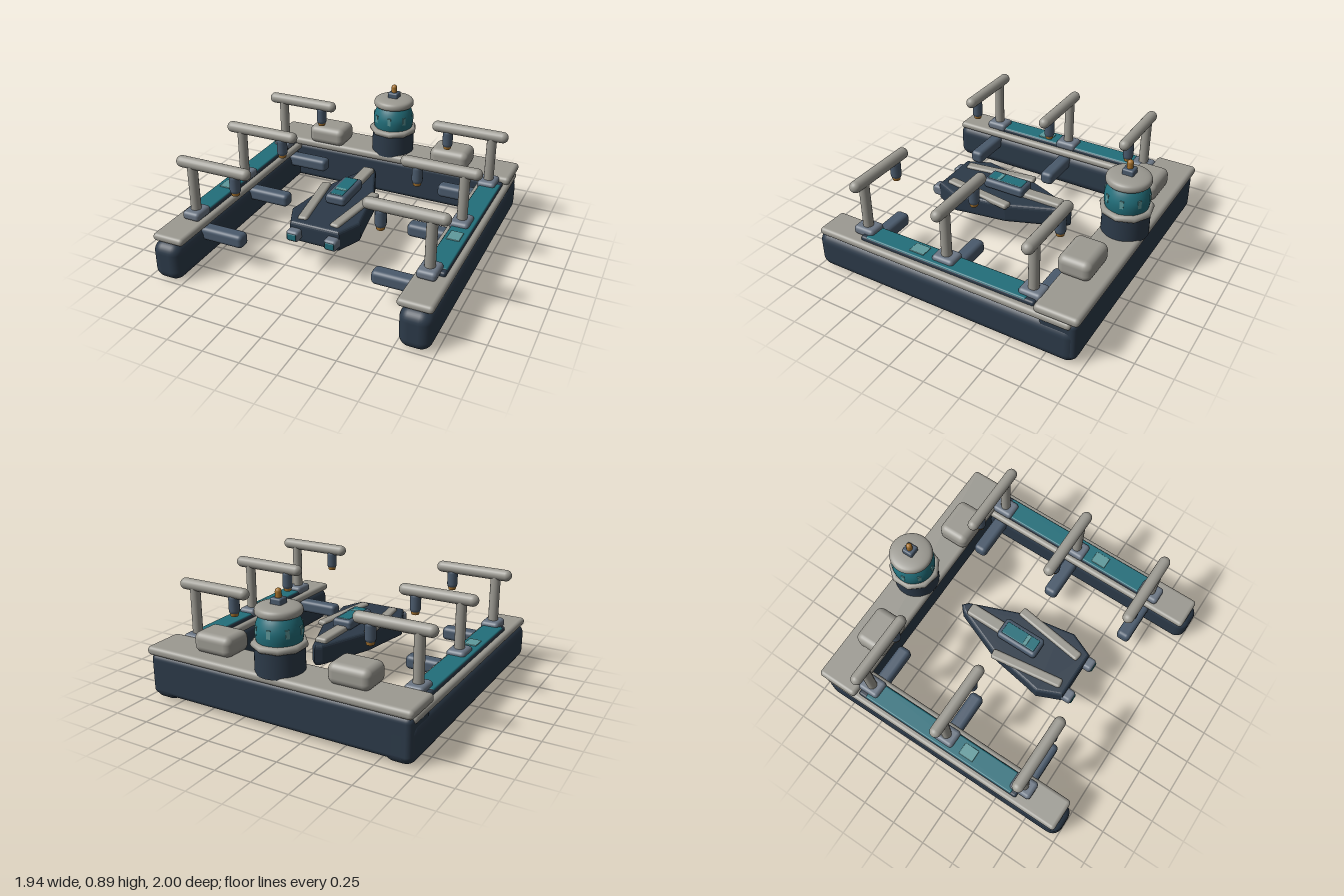
import * as THREE from 'three';
import { RoundedBoxGeometry } from 'three/addons/geometries/RoundedBoxGeometry.js';

const mat = (color) => new THREE.MeshStandardMaterial({ color });
const NAVY = mat(0x2c3a49), GREY = mat(0x9c9a92), TEAL = mat(0x226f7b), SLATE = mat(0x4a5a6c);
const STEEL = mat(0x6b7684), COPPER = mat(0xa8742e), GLASS = mat(0x5f9a9c);

function add(parent, name, geometry, material, x = 0, y = 0, z = 0) {
  const mesh = new THREE.Mesh(geometry, material);
  mesh.name = name;
  mesh.position.set(x, y, z);
  parent.add(mesh);
  return mesh;
}

// Rounded box given by its limits on each axis
function box(parent, name, material, [x0, x1], [y0, y1], [z0, z1], r = 0.02) {
  const g = new RoundedBoxGeometry(x1 - x0, y1 - y0, z1 - z0, 4, r);
  return add(parent, name, g, material, (x0 + x1) / 2, (y0 + y1) / 2, (z0 + z1) / 2);
}

function group(parent, name) {
  const g = new THREE.Group();
  g.name = name;
  parent.add(g);
  return g;
}

// Same limits on the left (s = 1) or mirrored to the right (s = -1)
const side = (s, a, b) => (s > 0 ? [a, b] : [-b, -a]);

// Gantry with foot, post, arm, hanging nozzle and docking bumper
function gantry(parent, s, z) {
  const g = group(parent, 'gantry');
  box(g, 'foot', STEEL, side(s, 0.77, 0.9), [0.32, 0.383], [z - 0.08, z + 0.08], 0.025);
  add(g, 'post', new THREE.CylinderGeometry(0.035, 0.035, 0.36, 20), GREY, s * 0.835, 0.53, z);
  const arm = add(g, 'arm', new THREE.CapsuleGeometry(0.04, 0.48, 8, 20), GREY, s * 0.67, 0.72, z);
  arm.rotation.z = Math.PI / 2;
  add(g, 'nozzle', new THREE.CapsuleGeometry(0.037, 0.08, 6, 16), SLATE, s * 0.51, 0.64, z);
  add(g, 'nozzleTip', new THREE.CylinderGeometry(0.032, 0.026, 0.03, 16), COPPER, s * 0.51, 0.573, z);
  box(g, 'dockBumper', SLATE, side(s, 0.465, 0.8), [0.17, 0.268], [z - 0.05, z + 0.05], 0.03);
}

function pontoon(parent, s) {
  const g = group(parent, s > 0 ? 'leftPontoon' : 'rightPontoon');
  box(g, 'hull', NAVY, side(s, 0.76, 0.972), [0, 0.275], [-0.955, 1], 0.075);
  box(g, 'deck', GREY, side(s, 0.742, 0.972), [0.268, 0.322], [-0.92, 0.965], 0.025);
  box(g, 'tray', NAVY, side(s, 0.78, 0.932), [0.31, 0.35], [-0.66, 0.64], 0.015);
  box(g, 'walkway', TEAL, side(s, 0.785, 0.928), [0.32, 0.354], [-0.6, 0.6], 0.01);
  box(g, 'hatch', GLASS, side(s, 0.81, 0.896), [0.34, 0.36], [0.16, 0.27], 0.004);
  for (const z of [0.645, 0.02, -0.607]) gantry(g, s, z);
}

function tower(parent) {
  const g = group(parent, 'tower');
  g.position.z = -0.825;
  add(g, 'base', new THREE.CylinderGeometry(0.158, 0.16, 0.18, 40), NAVY, 0, 0.45, 0);
  const collar = add(g, 'collar', new THREE.TorusGeometry(0.156, 0.025, 10, 9), GREY, 0, 0.545, 0);
  collar.rotation.x = Math.PI / 2;
  const lathe = (pts) => new THREE.LatheGeometry(
    new THREE.SplineCurve(pts.map(([x, y]) => new THREE.Vector2(x, y))).getPoints(20), 40);
  add(g, 'cabin', lathe([[0.14, 0.545], [0.15, 0.6], [0.15, 0.65], [0.135, 0.7], [0.11, 0.745]]), TEAL);
  add(g, 'roof', lathe([[0.1, 0.725], [0.142, 0.735], [0.15, 0.76], [0.135, 0.785], [0.08, 0.797], [0, 0.8]]), GREY);
  // Windows around the cabin
  for (let i = 0; i < 8; i++) {
    const a = (i / 8) * Math.PI * 2 + 0.15;
    const pane = add(g, 'window', new THREE.BoxGeometry(0.025, 0.055, 0.012), GLASS,
      Math.sin(a) * 0.146, 0.645, Math.cos(a) * 0.146);
    pane.rotation.y = a;
  }
  box(g, 'beaconMount', SLATE, [-0.04, 0.04], [0.785, 0.837], [-0.04, 0.04], 0.012);
  add(g, 'beacon', new THREE.CapsuleGeometry(0.021, 0.035, 6, 16), COPPER, 0, 0.856, 0);
}

function craft(parent) {
  const g = group(parent, 'craft');
  // Arrowhead hull, extruded upward with a rounded edge
  const half = [[0.165, 0.515], [0.232, 0.36], [0.215, 0.27], [0.17, -0.01], [0.022, -0.385]];
  const shape = new THREE.Shape();
  shape.moveTo(0, -0.405);
  [...half].reverse().forEach(([x, z]) => shape.lineTo(x, z));
  half.forEach(([x, z]) => shape.lineTo(-x, z));
  shape.closePath();
  const body = new THREE.ExtrudeGeometry(shape, {
    depth: 0.085, bevelEnabled: true, bevelSize: 0.02, bevelThickness: 0.03, bevelSegments: 4 });
  body.rotateX(Math.PI / 2);
  add(g, 'craftHull', body, NAVY, 0, 0.353, 0);
  box(g, 'spine', GREY, [-0.045, 0.045], [0.365, 0.414], [-0.36, 0.06], 0.018);
  box(g, 'canopy', SLATE, [-0.075, 0.075], [0.385, 0.457], [-0.085, 0.23], 0.025);
  box(g, 'canopyGlass', TEAL, [-0.046, 0.046], [0.44, 0.462], [-0.06, 0.205], 0.006);
  box(g, 'canopyStripe', GLASS, [-0.042, 0.042], [0.45, 0.465], [0.11, 0.138], 0.003);
  for (const s of [1, -1]) {
    const rail = add(g, 'rail', new RoundedBoxGeometry(0.07, 0.04, 0.53, 4, 0.018), GREY, s * 0.152, 0.381, 0.22);
    rail.rotation.y = -s * 0.14;
    box(g, 'engine', STEEL, side(s, 0.092, 0.182), [0.265, 0.343], [0.46, 0.596], 0.022);
    box(g, 'engineGlow', TEAL, side(s, 0.104, 0.17), [0.282, 0.327], [0.57, 0.601], 0.006);
  }
}

export function createModel() {
  const model = new THREE.Group();
  model.name = 'floatingDock';

  // Rear cross hull and deck
  box(model, 'rearHull', NAVY, [-0.96, 0.96], [0.03, 0.32], [-0.955, -0.695], 0.04);
  box(model, 'rearDeck', GREY, [-0.972, 0.972], [0.313, 0.375], [-0.972, -0.67], 0.028);

  for (const s of [1, -1]) {
    pontoon(model, s);
    box(model, 'rearLocker', GREY, side(s, 0.355, 0.65), [0.365, 0.508], [-0.88, -0.65], 0.05);
  }
  tower(model);
  craft(model);
  return model;
}
